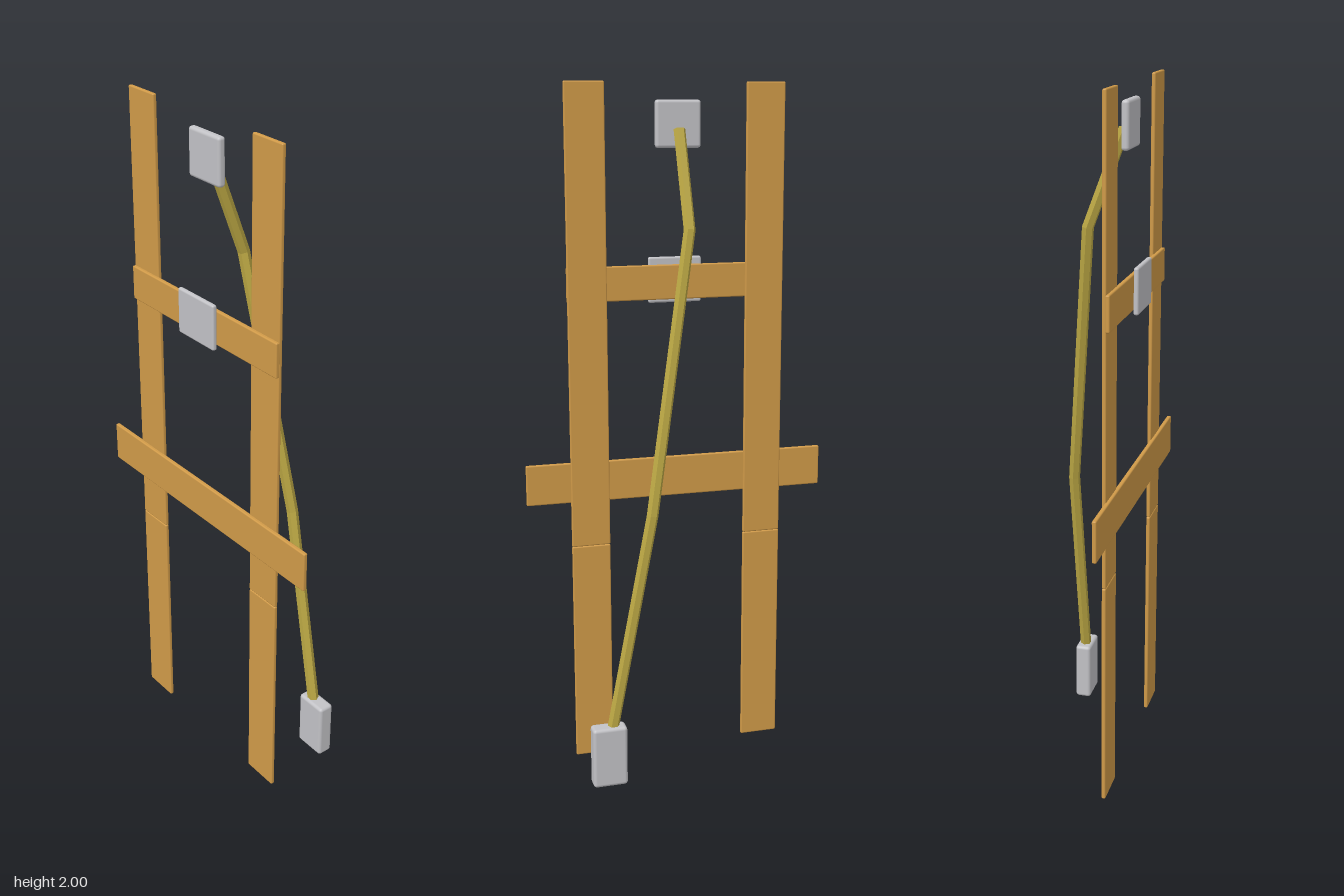
import * as THREE from 'three';
import { RoundedBoxGeometry } from 'three/addons/geometries/RoundedBoxGeometry.js';

export function createModel() {
  const model = new THREE.Group();
  model.name = 'strapHarness';

  const webbing = new THREE.MeshStandardMaterial({ color: 0xd09a48 });
  webbing.name = 'tan webbing';
  const metal = new THREE.MeshStandardMaterial({ color: 0xc2c2c6 });
  metal.name = 'light grey';
  const hose = new THREE.MeshStandardMaterial({ color: 0xbca844, flatShading: true });
  hose.name = 'olive yellow';

  // Rounded block given by its low and high corners
  function block(name, material, lo, hi, radius) {
    const size = hi.map((v, i) => v - lo[i]);
    const mesh = new THREE.Mesh(new RoundedBoxGeometry(...size, 2, radius), material);
    mesh.position.set(...hi.map((v, i) => (v + lo[i]) / 2));
    mesh.name = name;
    model.add(mesh);
  }

  // Upright straps, each in a lower and an upper piece
  for (const [side, x0, x1] of [['left', 0.207, 0.322], ['right', -0.322, -0.207]]) {
    block(side + 'LowerStrap', webbing, [x0, 0, 0.096], [x1, 0.668, 0.108], 0.004);
    block(side + 'UpperStrap', webbing, [x0, 0.668, 0.096], [x1, 2, 0.108], 0.004);
  }

  // Cross straps
  block('chestStrap', webbing, [-0.322, 1.39, 0.104], [0.322, 1.49, 0.117], 0.004);
  block('waistStrap', webbing, [-0.452, 0.802, 0.104], [0.452, 0.922, 0.117], 0.004);

  // Buckle and the two blocks at the ends of the hose
  block('buckle', metal, [-0.079, 1.379, 0.119], [0.079, 1.511, 0.134], 0.006);
  block('upperBlock', metal, [-0.066, 1.818, 0.078], [0.066, 1.95, 0.101], 0.009);
  block('lowerBlock', metal, [0.216, 0.004, -0.136], [0.318, 0.186, -0.087], 0.01);

  // Six-sided hose with mitred bends
  const path = [[0, 1.87, 0.072], [0, 1.6, -0.03], [0.132, 0.81, -0.111], [0.256, 0.17, -0.111]]
    .map((p) => new THREE.Vector3(...p));
  const dirs = path.slice(1).map((p, i) => p.clone().sub(path[i]).normalize());
  const sides = 6, radius = 0.017;
  const across = new THREE.Vector3(1, 0, 0);
  const other = dirs[0].clone().cross(across).normalize();
  let ring = Array.from({ length: sides }, (_, k) => {
    const a = (k / sides) * Math.PI * 2;
    return path[0].clone()
      .addScaledVector(across, radius * Math.cos(a))
      .addScaledVector(other, radius * Math.sin(a));
  });
  const positions = [], index = [];
  path.forEach((p, i) => {
    if (i > 0) {
      // Slide the ring along the segment onto the mitre plane
      const d = dirs[i - 1];
      const normal = d.clone().add(dirs[i] || d).normalize();
      ring = ring.map((v) => v.clone().addScaledVector(d, p.clone().sub(v).dot(normal) / d.dot(normal)));
    }
    ring.forEach((v, k) => {
      positions.push(v.x, v.y, v.z);
      if (i === 0) return;
      const a = (i - 1) * sides + k, b = (i - 1) * sides + (k + 1) % sides;
      index.push(a, b, a + sides, b, b + sides, a + sides);
    });
  });
  // End caps
  const last = (path.length - 1) * sides;
  for (let k = 1; k < sides - 1; k++) {
    index.push(0, k + 1, k, last, last + k, last + k + 1);
  }
  const geometry = new THREE.BufferGeometry();
  geometry.setAttribute('position', new THREE.Float32BufferAttribute(positions, 3));
  geometry.setIndex(index);
  const flat = geometry.toNonIndexed();
  flat.computeVertexNormals();
  const hoseMesh = new THREE.Mesh(flat, hose);
  hoseMesh.name = 'hose';
  model.add(hoseMesh);

  return model;
}
